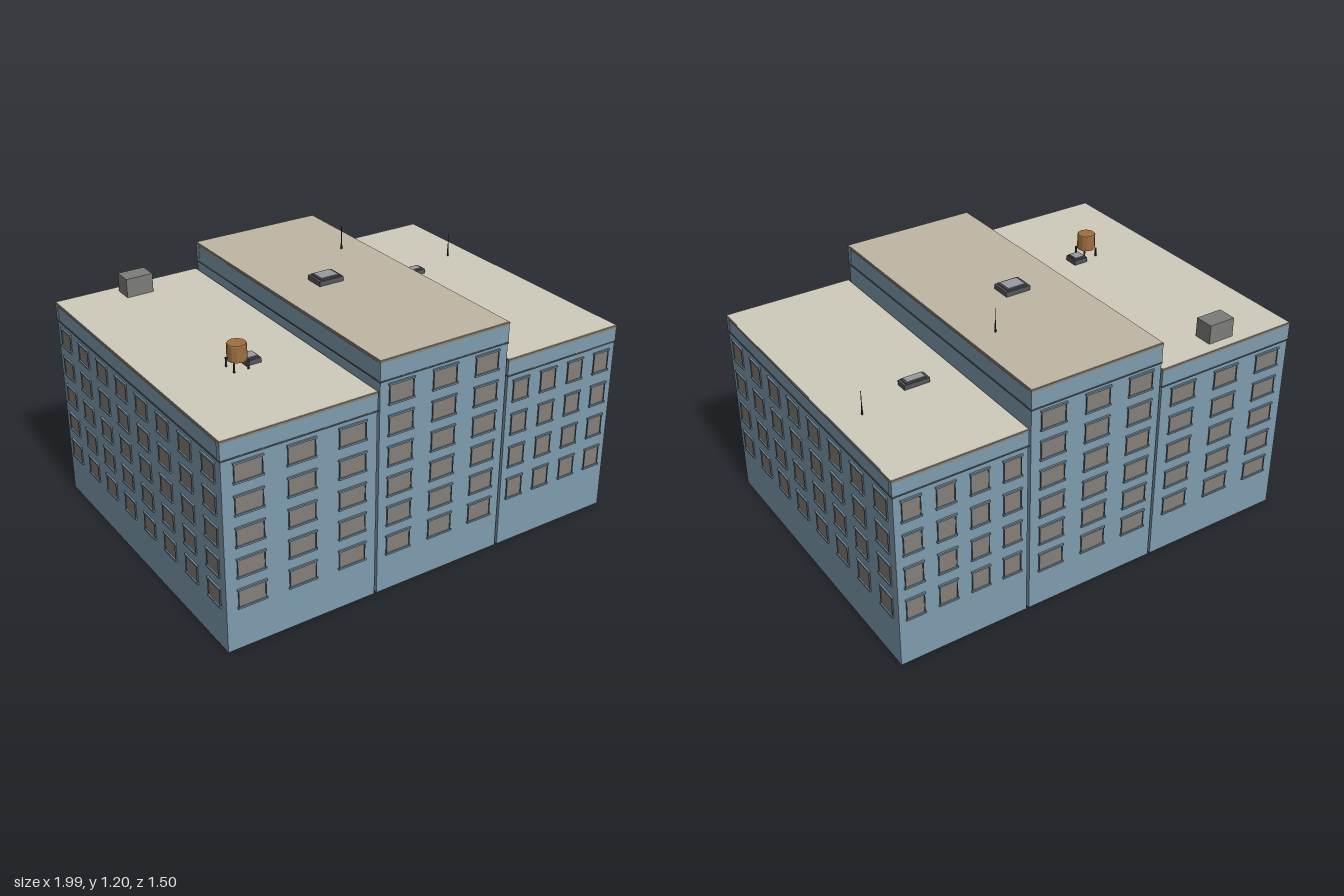
import * as THREE from 'three';

const mat = (color) => new THREE.MeshStandardMaterial({ color, flatShading: true });
const M = {
  wall: mat(0x7f9cae), trim: mat(0x6f8999), pane: mat(0x857f76), frame: mat(0x55606a),
  cap: mat(0x8a8273), roof: mat(0xcfcbbc), roofDark: mat(0xc0b7a4),
  metal: mat(0x55565c), glass: mat(0x9a9aa4), vent: mat(0x7d7d78),
  wood: mat(0xa0703f), dark: mat(0x333336),
};
const DEPTH = 1.482, HALF = DEPTH / 2;

// Box given by its centre x/z, bottom y and size
function box(parent, name, m, x, y, z, w, h, d) {
  const mesh = new THREE.Mesh(new THREE.BoxGeometry(w, h, d), m);
  mesh.position.set(x, y + h / 2, z);
  mesh.name = name;
  parent.add(mesh);
  return mesh;
}

function cylinder(parent, name, m, x, y, z, rTop, rBottom, h, sides) {
  const mesh = new THREE.Mesh(new THREE.CylinderGeometry(rTop, rBottom, h, sides), m);
  mesh.position.set(x, y + h / 2, z);
  mesh.name = name;
  parent.add(mesh);
  return mesh;
}

// Window facing +z: pane, two jambs, lintel and sill
function makeWindow(w, h) {
  const g = new THREE.Group();
  g.name = 'window';
  box(g, 'pane', M.pane, 0, -h / 2, 0, w, h, 0.006);
  for (const s of [-1, 1]) box(g, 'jamb', M.frame, s * w / 2, -h / 2, 0, 0.004, h, 0.012);
  box(g, 'lintel', M.trim, 0, h / 2 - 0.003, 0, w + 0.012, 0.008, 0.016);
  box(g, 'sill', M.trim, 0, -h / 2 - 0.005, 0, w + 0.012, 0.008, 0.018);
  return g;
}

// Grid of windows on a wall; place(u) returns [x, z, turn]
function windowGrid(parent, cols, rows, w, h, place) {
  for (const u of cols) for (const y of rows) {
    const win = makeWindow(w, h);
    const [x, z, turn] = place(u);
    win.position.set(x, y, z);
    win.rotation.y = turn;
    parent.add(win);
  }
}

function makeBuilding({ name, x0, x1, top, band, cols, rows, w, h, roof, side }) {
  const g = new THREE.Group();
  g.name = name;
  const cx = (x0 + x1) / 2, width = x1 - x0;
  box(g, 'walls', M.wall, cx, 0, 0, width, top - 0.012, DEPTH);

  // Frieze boards and the ledge beneath them
  for (const s of [-1, 1]) {
    box(g, 'friezeEnd', M.wall, cx, band, s * (HALF - 0.01), width + 0.004, top - 0.012 - band, 0.024);
    box(g, 'ledgeEnd', M.frame, cx, band - 0.004, s * HALF, width + 0.006, 0.006, 0.008);
    box(g, 'ledgeSide', M.frame, cx + s * width / 2, band - 0.004, 0, 0.006, 0.006, DEPTH);
  }
  box(g, 'cornice', M.cap, cx, top - 0.012, 0, width + 0.006, 0.01, DEPTH + 0.006);
  box(g, 'roof', roof, cx, top - 0.002, 0, width, 0.002, DEPTH);

  // Front and back windows, then the exposed long side
  windowGrid(g, cols, rows, w, h, (u) => [u, HALF, 0]);
  windowGrid(g, cols, rows, w, h, (u) => [u, -HALF, Math.PI]);
  if (side) {
    const sideCols = Array.from({ length: 8 }, (_, i) => -0.65 + i * 0.1857);
    windowGrid(g, sideCols, rows, 0.094, h, (u) => [side > 0 ? x1 : x0, u, side * Math.PI / 2]);
  }
  return g;
}

function skylight(parent, x, y, z, w, d) {
  const g = new THREE.Group();
  g.name = 'skylight';
  box(g, 'curb', M.metal, x, y, z, w, 0.022, d);
  box(g, 'rim', M.metal, x, y + 0.022, z, w * 0.82, 0.006, d * 0.84);
  box(g, 'glazing', M.glass, x, y + 0.026, z, w * 0.68, 0.004, d * 0.66);
  parent.add(g);
}

function antenna(parent, x, y, z) {
  cylinder(parent, 'antennaBase', M.dark, x, y, z, 0.003, 0.004, 0.04, 6);
  cylinder(parent, 'antennaMast', M.dark, x, y, z, 0.0015, 0.002, 0.11, 6);
}

export function createModel() {
  const model = new THREE.Group();
  model.name = 'rowOfBuildings';

  const left = makeBuilding({
    name: 'leftBuilding', x0: -0.99, x1: -0.288, top: 0.963, band: 0.878, side: -1, roof: M.roof,
    cols: [-0.874, -0.639, -0.404], rows: [0.241, 0.383, 0.525, 0.668, 0.81], w: 0.122, h: 0.082,
  });
  const middle = makeBuilding({
    name: 'middleBuilding', x0: -0.276, x1: 0.365, top: 1.093, band: 1.0, side: 0, roof: M.roofDark,
    cols: [-0.173, 0.043, 0.259], rows: [0.225, 0.367, 0.509, 0.651, 0.793, 0.935], w: 0.115, h: 0.086,
  });
  const right = makeBuilding({
    name: 'rightBuilding', x0: 0.378, x1: 0.985, top: 0.918, band: 0.84, side: 1, roof: M.roof,
    cols: [0.452, 0.604, 0.757, 0.909], rows: [0.277, 0.438, 0.6, 0.761], w: 0.08, h: 0.096,
  });

  // Left roof: water tank on legs, skylight and machine room
  const tank = new THREE.Group();
  tank.name = 'waterTank';
  cylinder(tank, 'barrel', M.wood, 0, 0.04, 0, 0.042, 0.042, 0.068, 12);
  cylinder(tank, 'lid', M.wood, 0, 0.108, 0, 0.04, 0.043, 0.005, 12);
  for (const sx of [-1, 1]) for (const sz of [-1, 1])
    box(tank, 'leg', M.dark, sx * 0.033, 0, sz * 0.033, 0.006, 0.042, 0.006);
  tank.position.set(-0.64, 0.963, 0.265);
  left.add(tank);
  skylight(left, -0.569, 0.963, 0.24, 0.07, 0.07);
  box(left, 'machineRoom', M.vent, -0.64, 0.963, -0.65, 0.128, 0.088, 0.088);

  // Middle and right roofs
  skylight(middle, -0.023, 1.093, -0.03, 0.122, 0.096);
  antenna(middle, 0.239, 1.093, -0.297);
  skylight(right, 0.579, 0.918, -0.21, 0.12, 0.054);
  antenna(right, 0.865, 0.918, -0.297);

  model.add(left, middle, right);
  return model;
}
